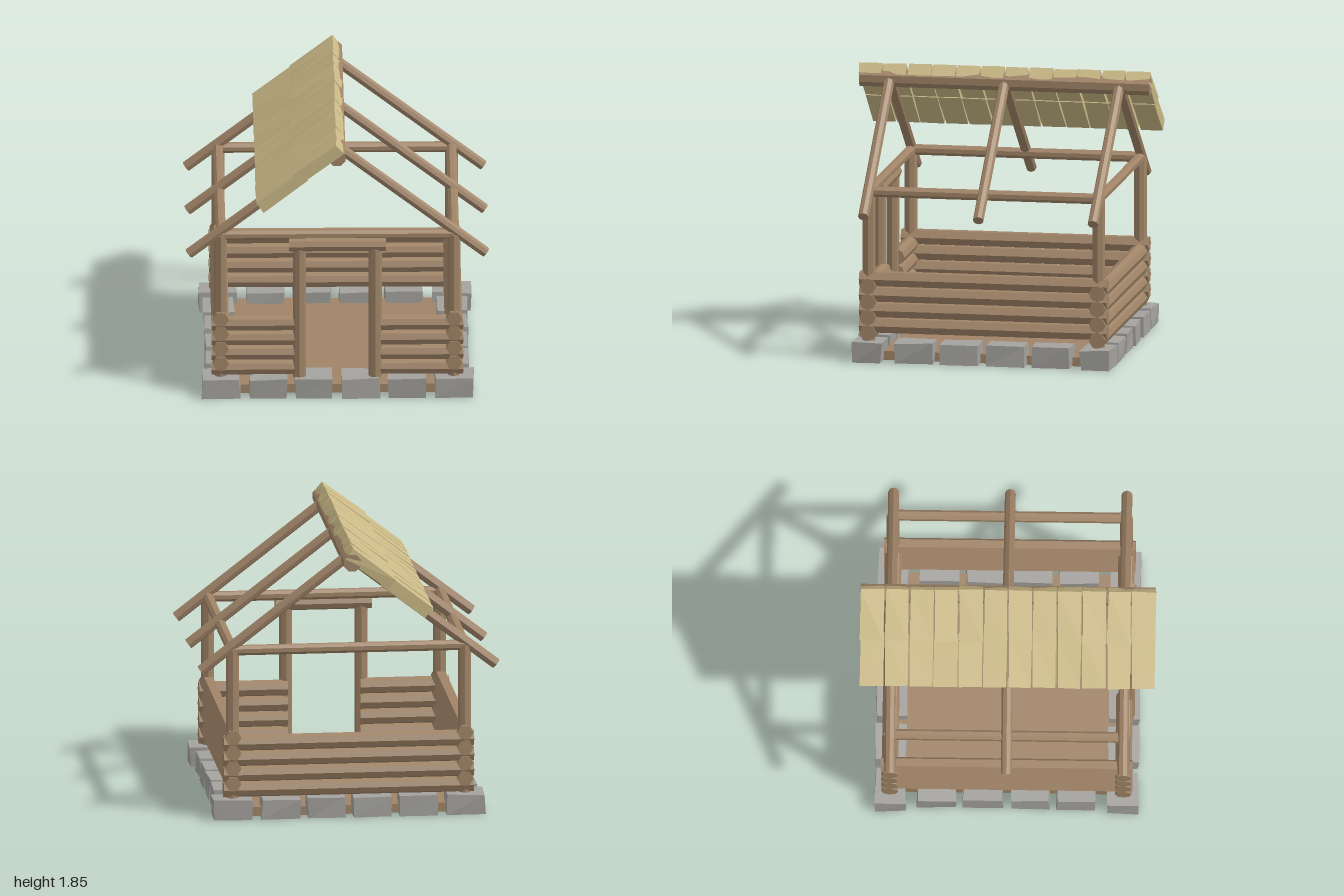
import * as THREE from 'three';

function material(name, color) {
  const m = new THREE.MeshStandardMaterial({ color, flatShading: true });
  m.name = name;
  return m;
}

// Small seeded generator for hand-cut irregularity, returns -1..1
function makeRandom(seed) {
  return () => {
    seed = (seed * 16807) % 2147483647;
    return (seed / 2147483647) * 2 - 1;
  };
}

export function createModel() {
  const root = new THREE.Group();
  root.name = 'unfinishedCabin';
  const wood = material('wood', 0xa08467);
  const stone = material('stone', 0xa3a29e);
  const thatch = material('paleShingle', 0xcbba87);
  const rand = makeRandom(4711);
  const UP = new THREE.Vector3(0, 1, 0);

  function group(name) {
    const g = new THREE.Group();
    g.name = name;
    root.add(g);
    return g;
  }

  // Faceted log between two points
  function log(parent, name, a, b, r, sides = 8, twist = 0) {
    const p = new THREE.Vector3(...a), q = new THREE.Vector3(...b);
    const dir = q.clone().sub(p);
    const mesh = new THREE.Mesh(
      new THREE.CylinderGeometry(r, r, dir.length(), sides, 1, false, twist), wood);
    mesh.position.copy(p).add(q).multiplyScalar(0.5);
    mesh.quaternion.setFromUnitVectors(UP, dir.normalize());
    mesh.name = name;
    parent.add(mesh);
  }

  // Box with each of its eight corners nudged a little
  function roughBox(parent, name, mat, size, jitter) {
    const geo = new THREE.BoxGeometry(...size);
    const pos = geo.attributes.position;
    const nudge = Array.from({ length: 8 }, () => jitter.map((j) => j * rand()));
    for (let i = 0; i < pos.count; i++) {
      const x = pos.getX(i), y = pos.getY(i), z = pos.getZ(i);
      const n = nudge[(x > 0 ? 1 : 0) + (y > 0 ? 2 : 0) + (z > 0 ? 4 : 0)];
      pos.setXYZ(i, x + n[0], y + (y > 0 ? n[1] : 0), z + n[2]);
    }
    geo.computeVertexNormals();
    const mesh = new THREE.Mesh(geo, mat);
    mesh.name = name;
    parent.add(mesh);
    return mesh;
  }

  // Floor slab
  const floor = new THREE.Mesh(new THREE.BoxGeometry(1.52, 0.06, 1.52), wood);
  floor.position.y = 0.03;
  floor.name = 'floor';
  root.add(floor);

  // Foundation stones: six per front and back row, four between them on each side
  const stones = group('foundation');
  const jitter = [0.008, 0.007, 0.008];
  for (const s of [-1, 1]) {
    for (const x of [-0.77, -0.457, -0.155, 0.155, 0.457, 0.77]) {
      roughBox(stones, 'foundationStone', stone, [0.25, 0.135, 0.2], jitter)
        .position.set(x, 0.0675, s * 0.768);
    }
    for (const z of [-0.46, -0.155, 0.155, 0.46]) {
      roughBox(stones, 'foundationStone', stone, [0.2, 0.135, 0.255], jitter)
        .position.set(s * 0.768, 0.0675, z);
    }
  }

  // Interlocking wall logs, with a doorway in the front
  const walls = group('walls');
  for (let i = 0; i < 4; i++) {
    const y = 0.19 + i * 0.104, ySide = y + 0.045;
    log(walls, 'backLog', [-0.83, y, -0.77], [0.83, y, -0.77], 0.054);
    for (const s of [-1, 1]) {
      log(walls, 'frontLog', [s * 0.24, y, 0.77], [s * 0.83, y, 0.77], 0.054);
      log(walls, 'sideLog', [s * 0.77, ySide, -0.83], [s * 0.77, ySide, 0.83], 0.054, 6, Math.PI / 6);
    }
  }

  // Corner posts, tie beams and wall plates
  const frame = group('frame');
  const flat = Math.PI / 8;
  for (const s of [-1, 1]) {
    for (const t of [-1, 1]) {
      log(frame, 'cornerPost', [s * 0.77, 0.13, t * 0.77], [s * 0.77, 1.13, t * 0.77], 0.043);
    }
    log(frame, 'tieBeam', [-0.77, 1.13, s * 0.77], [0.77, 1.13, s * 0.77], 0.035, 8, flat);
    log(frame, 'wallPlate', [s * 0.77, 1.13, -0.77], [s * 0.77, 1.13, 0.77], 0.036, 8, flat);
  }

  // Door frame
  const door = group('doorFrame');
  for (const s of [-1, 1]) {
    log(door, 'doorPost', [s * 0.25, 0.13, 0.795], [s * 0.25, 1.04, 0.795], 0.044);
  }
  log(door, 'lintel', [-0.32, 1.067, 0.795], [0.32, 1.067, 0.795], 0.048);

  // Ridge beam and three pairs of rafters
  const roof = group('roofFrame');
  log(roof, 'ridgeBeam', [-0.005, 1.75, -0.975], [-0.005, 1.75, 0.97], 0.061, 8, flat);
  for (const z of [-0.77, 0, 0.77]) {
    for (const s of [-1, 1]) {
      log(roof, 'rafter', [0, 1.755, z], [s * 0.98, 0.997, z], 0.036);
    }
  }

  // Two courses of thick shingles on the right-hand slope
  const shingles = group('shingles');
  const thick = 0.085;
  const courses = [
    { low: [-0.54, 1.432], high: [-0.25, 1.658] },
    { low: [-0.295, 1.632], high: [-0.01, 1.848] },
  ];
  for (const { low, high } of courses) {
    const dx = high[0] - low[0], dy = high[1] - low[1];
    const len = Math.hypot(dx, dy), angle = Math.atan2(dy, dx);
    const cx = (low[0] + high[0]) / 2 + Math.sin(angle) * thick / 2;
    const cy = (low[1] + high[1]) / 2 - Math.cos(angle) * thick / 2;
    for (let i = 0; i < 12; i++) {
      const m = roughBox(shingles, 'shingle', thatch, [len, thick, 0.152], [0.004, 0.004, 0.005]);
      m.position.set(cx, cy, -0.896 + i * 0.163);
      m.rotation.set(0, 0.012 * rand(), angle, 'YXZ');
    }
  }
  return root;
}
